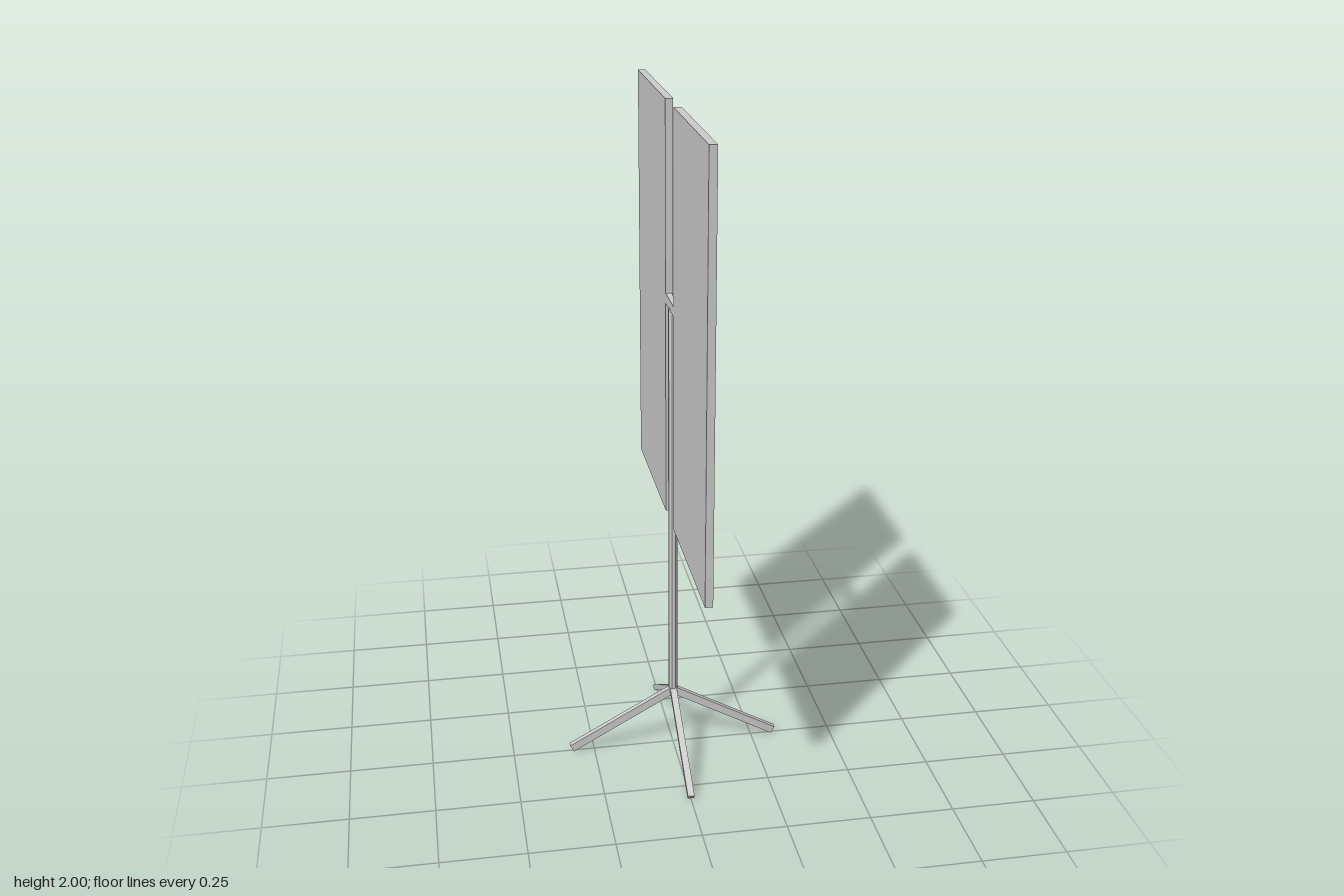
import * as THREE from 'three';

const lightGrey = new THREE.MeshStandardMaterial({ color: 0xcccccc });
lightGrey.name = 'light grey';
const black = new THREE.MeshStandardMaterial({ color: 0x0d0d0d });
black.name = 'black';

function box(name, size, position, material = lightGrey) {
  const mesh = new THREE.Mesh(new THREE.BoxGeometry(...size), material);
  mesh.name = name;
  mesh.position.set(...position);
  return mesh;
}

// One shallow tray facing +x: backing, four rims and a recessed coloured plate
function createCell(material) {
  const cell = new THREE.Group();
  cell.name = 'panelCell';
  const w = 0.248, h = 0.41, rimW = 0.005, rimH = 0.007;
  const back = -0.01, floor = 0.002, front = 0.012;
  cell.add(box('cellBacking', [floor - back, h, w], [(floor + back) / 2, 0, 0]));
  cell.add(box('cellFace', [0.002, h - 2 * rimH, w - 2 * rimW], [floor + 0.001, 0, 0], material));
  const depth = front - floor, x = (front + floor) / 2;
  for (const s of [-1, 1]) {
    cell.add(box('sideRim', [depth, h, rimW], [x, 0, s * (w - rimW) / 2]));
    cell.add(box('endRim', [depth, rimH, w - 2 * rimW], [x, s * (h - rimH) / 2, 0]));
  }
  return cell;
}

// Cells listed from +z to -z, top row first; 1 is black
function createPanel(name, z, rows) {
  const panel = new THREE.Group();
  panel.name = name;
  rows.forEach((row, r) => row.forEach((dark, c) => {
    const cell = createCell(dark ? black : lightGrey);
    cell.position.set(0, 1.795 - r * 0.41, z + (c ? -0.124 : 0.124));
    panel.add(cell);
  }));
  return panel;
}

// Leg sloping from the post down to the ground
function createLeg(angle, thickness, width, startY) {
  const leg = new THREE.Group();
  leg.name = 'leg';
  const endX = 0.32, endY = thickness / 2 * 0.87 + 0.001;
  const bar = box('legBar', [Math.hypot(endX, startY - endY), thickness, width],
    [endX / 2, (startY + endY) / 2, 0]);
  bar.rotation.z = Math.atan2(endY - startY, endX);
  leg.add(bar);
  leg.rotation.y = angle;
  return leg;
}

export function createModel() {
  const model = new THREE.Group();
  model.name = 'panelStand';

  // Octagonal post and crossbar
  const postGeometry = new THREE.CylinderGeometry(0.014, 0.014, 1.235, 8).rotateY(Math.PI / 8).toNonIndexed();
  postGeometry.computeVertexNormals();
  const post = new THREE.Mesh(postGeometry, lightGrey);
  post.name = 'post';
  post.position.y = 0.8075;
  model.add(post);
  model.add(box('crossbar', [0.017, 0.03, 0.13], [-0.001, 1.435, 0]));

  // Two panels
  model.add(createPanel('leftPanel', 0.313, [[0, 0], [1, 0], [1, 1]]));
  model.add(createPanel('rightPanel', -0.313, [[1, 0], [1, 1], [1, 0]]));

  // Four legs
  for (let i = 0; i < 4; i++) {
    const sideways = i % 2 === 0;
    model.add(createLeg(i * Math.PI / 2, sideways ? 0.024 : 0.015, sideways ? 0.017 : 0.02, sideways ? 0.19 : 0.196));
  }
  return model;
}
